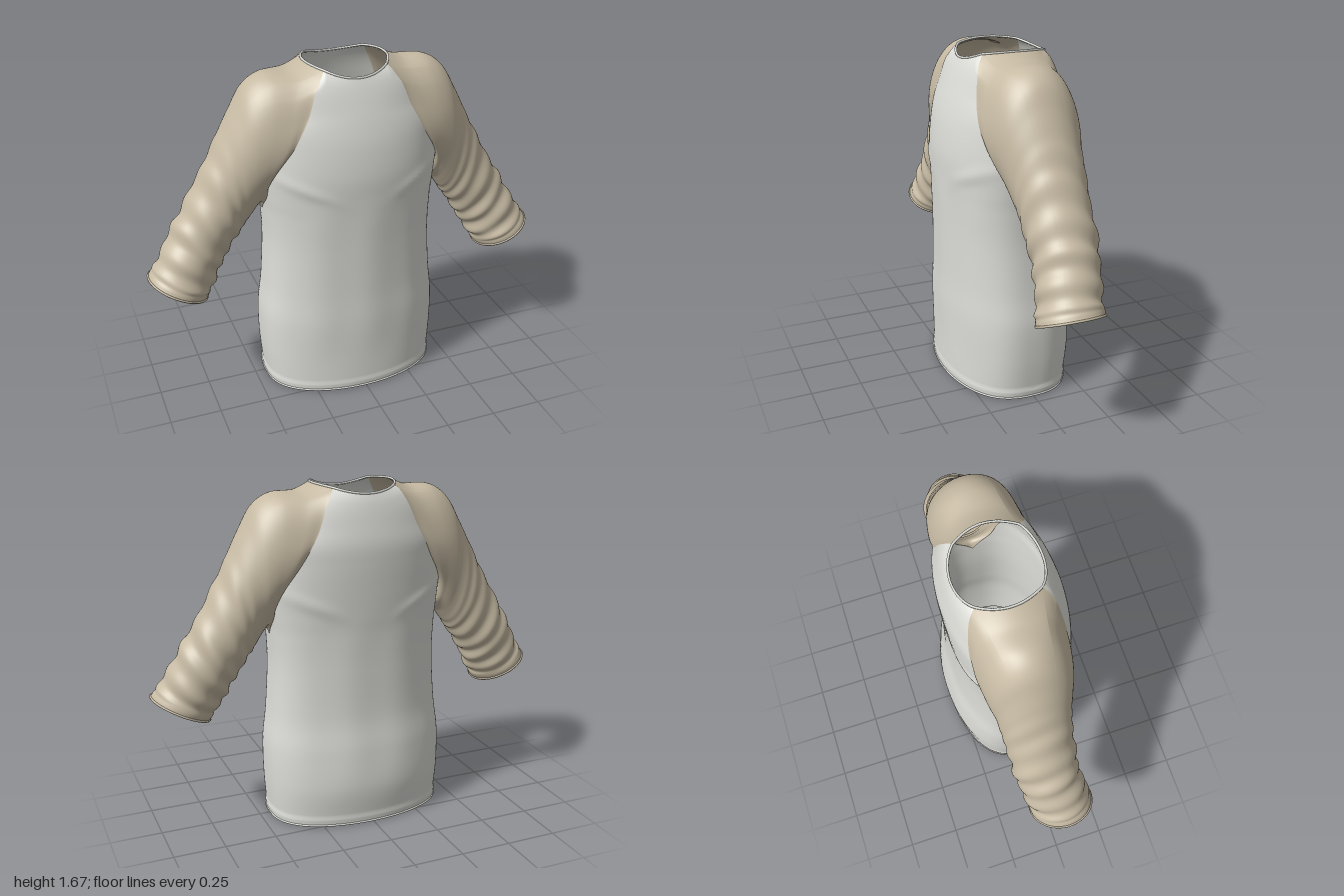
import * as THREE from 'three';
import { mergeGeometries, mergeVertices } from 'three/addons/utils/BufferGeometryUtils.js';

const V = (x, y, z) => new THREE.Vector3(x, y, z);
const smooth = THREE.MathUtils.smoothstep;

// Torso sections: y, half width, front z, back z, seam angle in degrees (90 = closed ring)
const TORSO = [
  [0, .44, .31, .29, 90], [.05, .445, .312, .295, 90], [.2, .455, .31, .31, 90],
  [.38, .455, .31, .295, 90], [.55, .435, .305, .27, 90], [.78, .42, .305, .262, 90],
  [.95, .425, .308, .262, 90], [1.05, .435, .31, .266, 78], [1.17, .445, .31, .272, 69],
  [1.3, .44, .295, .277, 50], [1.4, .43, .272, .275, 41], [1.5, .37, .24, .255, 38],
  [1.57, .28, .215, .235, 41], [1.615, .2, .195, .215, 49],
];
const ARMPIT = 6, TOP = TORSO.length - 1, STEP = 8;

// Sleeve rings: upper x, y, lower x, y, half depth, centre z
const SLEEVE = [
  [.2, 1.66, .44, .95, .2, -.005], [.28, 1.63, .445, .975, .21, -.005], [.4, 1.625, .455, .985, .205, -.005],
  [.485, 1.575, .47, .975, .195, -.005], [.55, 1.47, .49, .945, .18, -.005], [.62, 1.34, .52, .9, .168, -.01],
  [.7, 1.19, .555, .85, .16, -.01], [.8, 1.02, .61, .77, .155, -.01], [.88, .89, .655, .69, .15, 0],
  [.955, .76, .7, .61, .15, .02], [1, .69, .735, .56, .15, .03],
];

// Smooth interpolation through the rows of a table
function sample(table, t) {
  const n = table.length - 1, i = Math.min(Math.floor(t), n - 1), f = t - i;
  const row = k => table[Math.max(0, Math.min(n, k))];
  return table[0].map((_, c) => {
    const [p, a, b, q] = [row(i - 1)[c], row(i)[c], row(i + 1)[c], row(i + 2)[c]];
    return a + .5 * f * (b - p + f * (2 * p - 5 * a + 4 * b - q + f * (3 * (a - b) + q - p)));
  });
}

// Surface from a grid of points
function grid(rows, flip) {
  const cols = rows[0].length, index = [];
  for (let i = 0; i < rows.length - 1; i++) for (let j = 0; j < cols - 1; j++) {
    const a = i * cols + j, b = a + 1, c = a + cols, d = c + 1;
    index.push(...(flip ? [a, c, b, b, c, d] : [a, b, c, b, d, c]));
  }
  const g = new THREE.BufferGeometry().setFromPoints(rows.flat());
  g.setIndex(index);
  return g;
}

function weld(g) {
  const m = mergeVertices(g, 1e-5);
  m.computeVertexNormals();
  return m;
}

// Point on the torso: t along the height, u from -1 to 1 between seams, face 1 front or -1 back
function torsoPoint(t, u, face) {
  const [y, w, zf, zb, deg] = sample(TORSO, t);
  const a = Math.min(deg, 90) * Math.PI / 180 * u;
  const hem = y < .05 ? 1.012 : 1;
  const x = w * Math.sin(a) * hem;
  const c = Math.pow(Math.max(0, Math.cos(a)), .75);
  let z = (face > 0 ? zf : zb) * c * hem;
  // drape folds and the chest crease running in from the armpit
  z *= 1 + .008 * Math.sin(x * 24 + face) * smooth(y, .1, .4) * (1 - smooth(y, .9, 1.1));
  const ax = Math.abs(x);
  z += .01 * c * Math.exp(-Math.pow((y - 1 - .42 * ax) / .03, 2)) * smooth(ax, .08, .3);
  // neckline dips in the middle
  const dip = (face > 0 ? .035 : .025) * smooth(y, 1.45, 1.615) * Math.pow(x / .15, 2);
  return V(x, y + Math.min(dip, .035) + (face < 0 ? .01 * smooth(y, 1.45, 1.615) : 0), z * face);
}

function panel(face) {
  const rows = [];
  for (let i = 0; i <= TOP * STEP; i++) {
    const row = [];
    for (let j = 0; j <= 48; j++) row.push(torsoPoint(i / STEP, j / 24 - 1, face));
    rows.push(row);
  }
  return rows;
}

// Edge of the left sleeve: half the neck arc, front seam down, back seam up, other half of the arc
function seamLoop() {
  const edge = face => {
    const pts = [];
    for (let i = TOP * STEP; i >= ARMPIT * STEP; i--) pts.push(torsoPoint(i / STEP, 1, face));
    return pts;
  };
  const front = edge(1), back = edge(-1), A = front[0], B = back[0];
  const ctrl = V(.2, 1.66, -.01).multiplyScalar(2).addScaledVector(A, -.5).addScaledVector(B, -.5);
  const arc = new THREE.QuadraticBezierCurve3(A, ctrl, B).getPoints(16);
  const halves = [
    [...arc.slice(0, 9).reverse(), ...front.slice(1)],
    [...arc.slice(8), ...back.slice(1)],
  ];
  // angle around the sleeve follows distance along each half
  const [f, b] = halves.map((pts, k) => {
    const d = [0];
    for (let i = 1; i < pts.length; i++) d.push(d[i - 1] + pts[i].distanceTo(pts[i - 1]));
    return pts.map((p, i) => {
      const phi = Math.PI * d[i] / d[d.length - 1];
      return { p, phi: k ? 2 * Math.PI - phi : phi };
    });
  });
  return { loop: [...f, ...b.reverse().slice(1)], arc };
}

function ringPoint(s, phi) {
  const [tx, ty, bx, by, hz, zc] = sample(SLEEVE, s);
  // gathered folds toward the cuff, with a plain band at the end
  const amount = smooth(s, 4, 7.5) * (1 - smooth(s, 9.2, 9.6));
  const r = 1 + amount * (.04 * Math.sin(s * 7.5 + 1.6 * Math.sin(phi + .5)) + .018 * Math.sin(s * 4.3 + 3 * phi))
    + .02 * smooth(s, 9.45, 9.6);
  const c = Math.cos(phi) * r / 2;
  return V((tx + bx) / 2 + (tx - bx) * c, (ty + by) / 2 + (ty - by) * c, zc + hz * Math.sin(phi) * r);
}

function sleeveRows(loop, side) {
  const rows = [], per = 12;
  for (let i = 0; i <= (SLEEVE.length - 1) * per; i++) {
    const s = i / per, k = Math.pow(Math.max(0, 1 - s / 3.5), 2);
    rows.push(loop.map(({ p, phi }) => {
      const q = ringPoint(s, phi).addScaledVector(p.clone().sub(ringPoint(0, phi)), k);
      q.x *= side;
      return q;
    }));
  }
  return rows;
}

export function createModel() {
  const model = new THREE.Group();
  model.name = 'raglanShirt';
  const white = new THREE.MeshStandardMaterial({ name: 'offWhiteCloth', color: 0xdcdcd7, side: THREE.DoubleSide });
  const beige = new THREE.MeshStandardMaterial({ name: 'beigeCloth', color: 0xc6baa3, side: THREE.DoubleSide });
  const add = (name, geometry, material) => {
    const m = new THREE.Mesh(geometry, material);
    m.name = name;
    model.add(m);
  };
  // Rolled edge along a closed loop of points
  const rim = (name, pts, r, material) => add(name,
    new THREE.TubeGeometry(new THREE.CatmullRomCurve3(pts, true), 96, r, 6, true), material);

  // Torso: front and back panels welded at the sides
  const front = panel(1), back = panel(-1);
  add('body', weld(mergeGeometries([grid(front, false), grid(back, true)])), white);
  rim('hemEdge', [...front[0], ...back[0].slice(1, -1).reverse()].map(p => p.setY(.006)), .006, white);

  // Neck edge
  const { loop, arc } = seamLoop();
  const mirrored = arc.map(p => V(-p.x, p.y, p.z)).reverse();
  rim('neckEdge', [...front.at(-1), ...arc.slice(1, -1), ...[...back.at(-1)].reverse(), ...mirrored.slice(1, -1)], .006, white);

  // Sleeves with cuff edges
  for (const [side, label] of [[1, 'left'], [-1, 'right']]) {
    const rows = sleeveRows(loop, side);
    add(label + 'Sleeve', weld(grid(rows, side < 0)), beige);
    rim(label + 'CuffEdge', rows.at(-1).slice(0, -1).filter((_, i) => i % 4 === 0), .006, beige);
  }
  return model;
}
